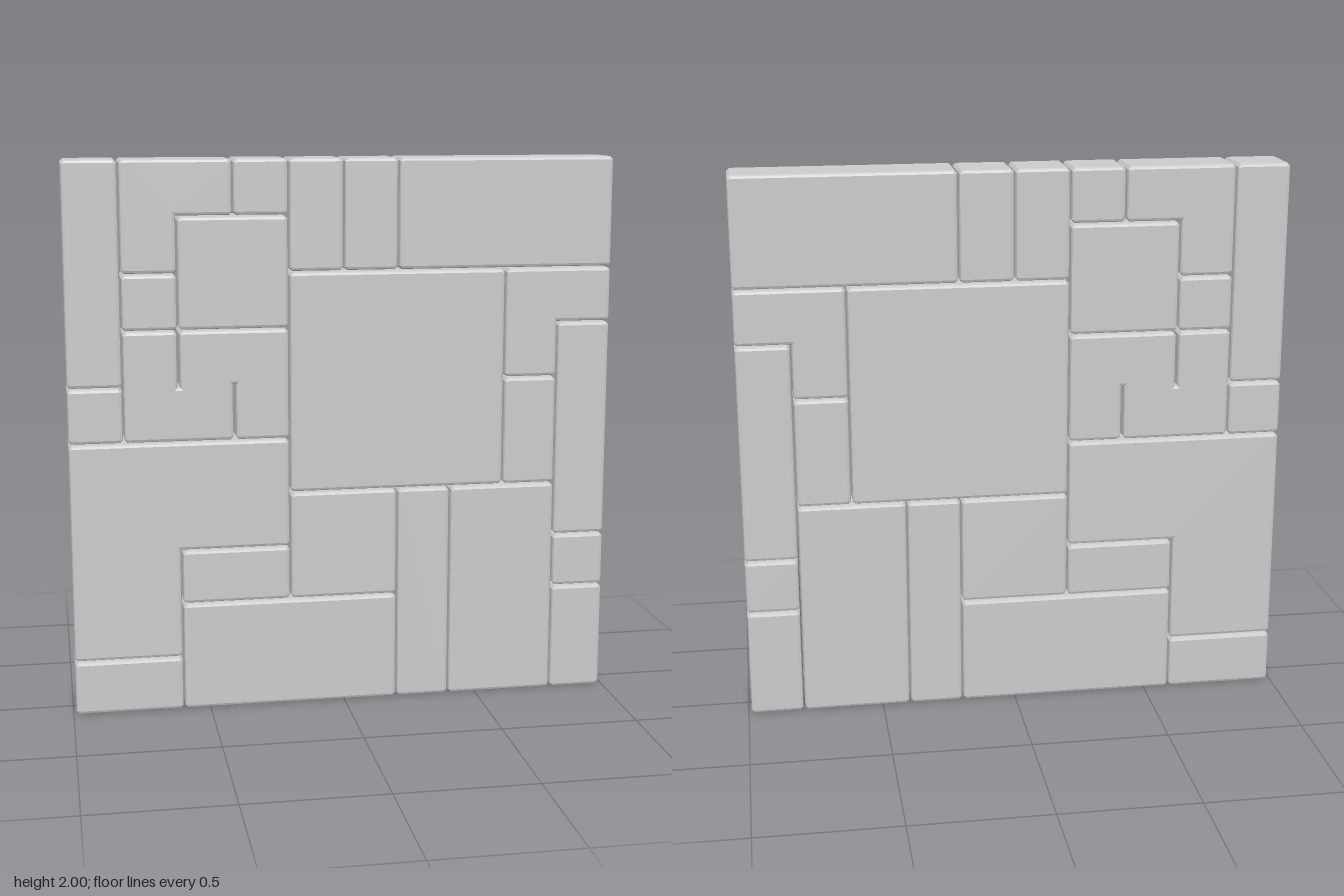
import * as THREE from 'three';

// The wall is laid out on a 10 x 10 cell grid, column 0 at -x and row 0 at the bottom.
const PITCH_X = 0.1985, PITCH_Y = 0.2006, HALF_DEPTH = 0.098;
const GAP = 0.003, BEVEL = 0.011, CORNER = 0.01;

const rect = (x0, y0, x1, y1) => [[x0, y0], [x1, y0], [x1, y1], [x0, y1]];
const S = 0.01; // half width of a slit, in cells

// Outlines run counter-clockwise.
const BLOCKS = {
  upperLeftPost: rect(0, 6, 1, 10),
  topLeftAngle: [[1, 8], [2, 8], [2, 9], [3, 9], [3, 10], [1, 10]],
  topLeftCube: rect(3, 9, 4, 10),
  upperLeftSquare: rect(2, 7, 4, 9),
  innerLeftCube: rect(1, 7, 2, 8),
  slittedBlock: [[1, 5], [3 - S, 5], [3 - S, 6], [3 + S, 6], [3 + S, 5], [4, 5],
    [4, 7], [2 + S, 7], [2 + S, 6], [2 - S, 6], [2 - S, 7], [1, 7]],
  outerLeftCube: rect(0, 5, 1, 6),
  largeAngle: [[0, 1], [2, 1], [2, 3], [4, 3], [4, 5], [0, 5]],
  bottomLeftBrick: rect(0, 0, 2, 1),
  lowerLeftBrick: rect(2, 2, 4, 3),
  bottomSlab: rect(2, 0, 6, 2),
  lowerSquare: rect(4, 2, 6, 4),
  narrowPost: rect(6, 0, 7, 4),
  widePost: rect(7, 0, 9, 4),
  bottomRightBrick: rect(9, 0, 10, 2),
  outerRightCube: rect(9, 2, 10, 3),
  rightPost: rect(9, 3, 10, 7),
  centreSquare: rect(4, 4, 8, 8),
  innerRightBrick: rect(8, 4, 9, 6),
  rightAngle: [[8, 6], [9, 6], [9, 7], [10, 7], [10, 8], [8, 8]],
  topPostLeft: rect(4, 8, 5, 10),
  topPostRight: rect(5, 8, 6, 10),
  topRightSlab: rect(6, 8, 10, 10),
};

// Pulls the outline in by the joint gap and clips its convex corners.
function blockShape(cells) {
  const pts = cells.map(([c, r]) => new THREE.Vector2((c - 5) * PITCH_X, r * PITCH_Y - GAP));
  const n = pts.length, outline = [];
  pts.forEach((p, i) => {
    const a = p.clone().sub(pts[(i + n - 1) % n]).normalize();
    const b = pts[(i + 1) % n].clone().sub(p).normalize();
    const q = p.clone().add(new THREE.Vector2(-a.y - b.y, a.x + b.x).multiplyScalar(GAP));
    if (a.cross(b) > 0) {
      outline.push(q.clone().addScaledVector(a, -CORNER), q.clone().addScaledVector(b, CORNER));
    } else outline.push(q);
  });
  return new THREE.Shape(outline);
}

export function createModel() {
  const wall = new THREE.Group();
  wall.name = 'blockWall';
  const stone = new THREE.MeshStandardMaterial({ color: 0xcccccc });

  for (const [name, cells] of Object.entries(BLOCKS)) {
    // Bevelled front and back edges, kept inside the outline
    const geometry = new THREE.ExtrudeGeometry(blockShape(cells), {
      depth: 2 * (HALF_DEPTH - BEVEL),
      bevelEnabled: true,
      bevelThickness: BEVEL,
      bevelSize: BEVEL,
      bevelOffset: -BEVEL,
      bevelSegments: 2,
    });
    geometry.translate(0, 0, BEVEL - HALF_DEPTH);
    const block = new THREE.Mesh(geometry, stone);
    block.name = name;
    wall.add(block);
  }
  return wall;
}
